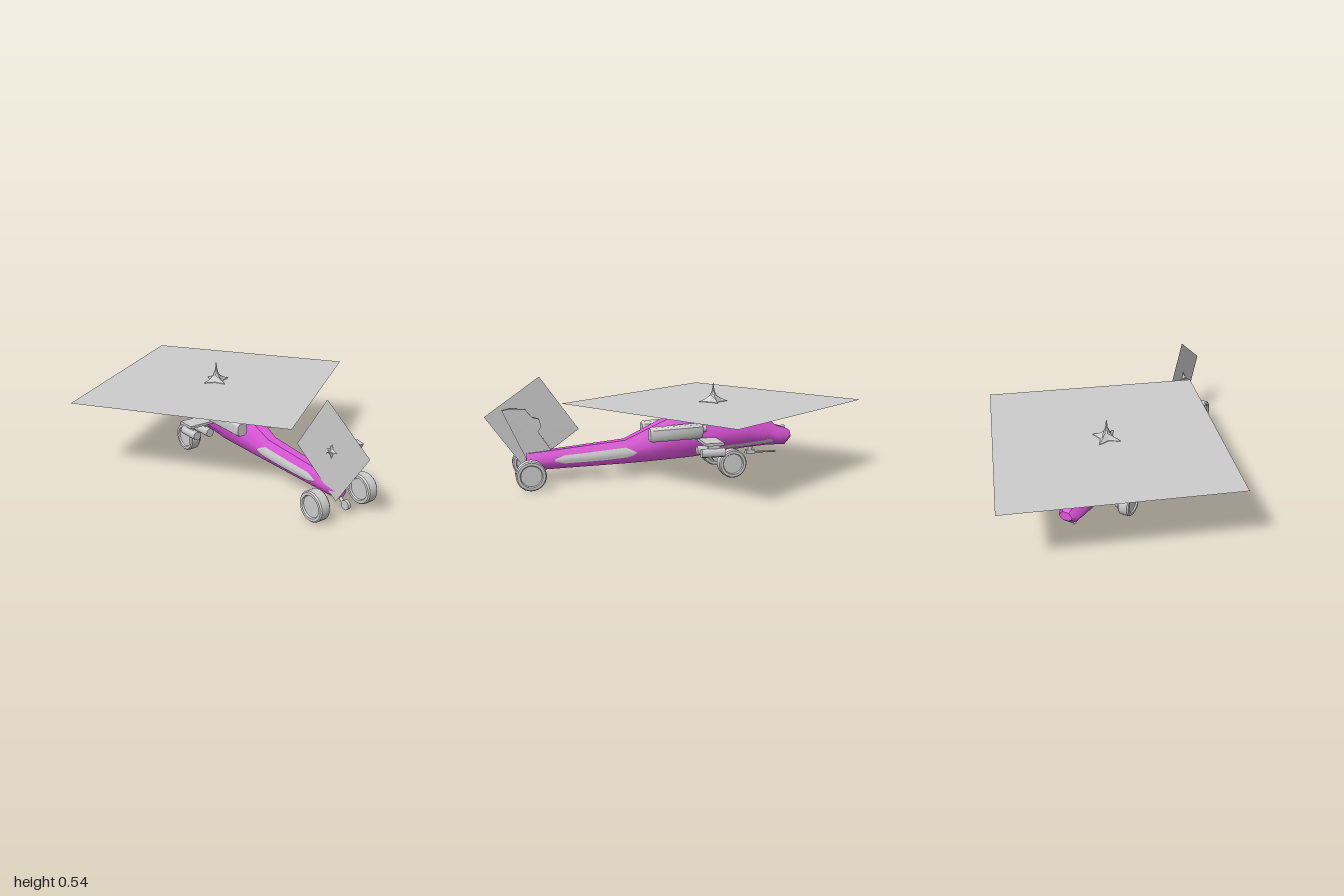
import * as THREE from 'three';
import { toCreasedNormals } from 'three/addons/utils/BufferGeometryUtils.js';

const mat = (name, color, side = THREE.FrontSide) => {
  const m = new THREE.MeshStandardMaterial({ color, side });
  m.name = name;
  return m;
};

// Skin closed rings (clockwise seen from +z, ordered from +z to -z) and cap both ends
function loft(rings, crease = 0.6) {
  const pos = [], idx = [], n = rings[0].length;
  rings.forEach(r => r.forEach(p => pos.push(...p)));
  for (let i = 0; i < rings.length - 1; i++) for (let j = 0; j < n; j++) {
    const a = i * n + j, b = i * n + (j + 1) % n;
    idx.push(a, b, a + n, b, b + n, a + n);
  }
  const last = (rings.length - 1) * n;
  for (let j = 1; j < n - 1; j++) {
    idx.push(0, j + 1, j);
    idx.push(last, last + j, last + j + 1);
  }
  const g = new THREE.BufferGeometry();
  g.setAttribute('position', new THREE.Float32BufferAttribute(pos, 3));
  g.setIndex(idx);
  return toCreasedNormals(g, crease);
}

// Fuselage stations from tail to nose: z, bottom, top, half width
const stations = [
  [0.80, 0.075, 0.160, 0.035], [0.73, 0.072, 0.166, 0.038], [0.29, 0.080, 0.205, 0.05],
  [0.165, 0.085, 0.262, 0.062], [0.015, 0.094, 0.333, 0.085], [-0.075, 0.10, 0.345, 0.098],
  [-0.26, 0.122, 0.35, 0.10], [-0.38, 0.135, 0.335, 0.094], [-0.50, 0.14, 0.287, 0.078],
  [-0.555, 0.138, 0.245, 0.065], [-0.61, 0.136, 0.23, 0.052], [-0.64, 0.165, 0.212, 0.035],
];
// Half section from top to bottom: share of width, share of height
const section = [[0.5, 1], [0.74, 0.78], [1, 0.48], [0.88, 0.22], [0.4, 0]];

// Half width of the fuselage skin at a given z and y
function skinX(z, y) {
  let i = 0;
  while (i < stations.length - 2 && stations[i + 1][0] > z) i++;
  const a = stations[i], b = stations[i + 1], t = (z - a[0]) / (b[0] - a[0]);
  const [, y0, y1, w] = a.map((v, k) => v + (b[k] - v) * t);
  const v = (y - y0) / (y1 - y0);
  for (let k = 0; k < section.length - 1; k++) {
    const [u1, v1] = section[k], [u2, v2] = section[k + 1];
    if (v <= v1 && v >= v2) return w * (u2 + (u1 - u2) * (v - v2) / (v1 - v2));
  }
  return w * 0.4;
}

// Thin plate lying on the skin, given rows of z, lower y, upper y
function sidePlate(rows, s) {
  const pos = [], idx = [], m = 4;
  rows.forEach(([z, lo, hi]) => {
    for (let j = 0; j <= m; j++) {
      const y = lo + (hi - lo) * j / m;
      pos.push(s * (skinX(z, y) + 0.005), y, z);
    }
  });
  for (let i = 0; i < rows.length - 1; i++) for (let j = 0; j < m; j++) {
    const a = i * (m + 1) + j, b = a + 1, c = a + m + 1, d = c + 1;
    if (s > 0) idx.push(a, c, b, b, c, d);
    else idx.push(a, b, c, b, d, c);
  }
  const g = new THREE.BufferGeometry();
  g.setAttribute('position', new THREE.Float32BufferAttribute(pos, 3));
  g.setIndex(idx);
  g.computeVertexNormals();
  return g;
}

// Four-pointed rotor head with a central spike along +z
function starGeometry() {
  const levels = [[0.1, 0.002], [0.06, 0.007], [0.032, 0.018], [0.014, 0.045], [0, 0.08], [-0.004, 0.078]];
  return loft(levels.map(([z, R]) => Array.from({ length: 8 }, (_, k) => {
    const r = k % 2 ? Math.min(R, 0.018 + Math.max(0, R - 0.018) * 0.25) : R;
    const a = Math.PI / 2 - k * Math.PI / 4;
    return [r * Math.cos(a), r * Math.sin(a), z];
  })), 0.4);
}

export function createModel() {
  const root = new THREE.Group();
  root.name = 'helicopter';
  const magenta = mat('magenta paint', 0xdd55da);
  const grey = mat('light grey', 0xcccccc);
  const sheet = mat('rotor disc grey', 0xcccccc, THREE.DoubleSide);
  const add = (name, geo, m = grey, p = [0, 0, 0]) => {
    const mesh = new THREE.Mesh(geo, m);
    mesh.name = name;
    mesh.position.set(...p);
    root.add(mesh);
    return mesh;
  };
  const rod = (name, a, b, r0, r1 = r0, sides = 10) => {
    const A = new THREE.Vector3(...a), B = new THREE.Vector3(...b), d = B.clone().sub(A);
    const mesh = add(name, new THREE.CylinderGeometry(r1, r0, d.length(), sides));
    mesh.position.copy(A).add(B).multiplyScalar(0.5);
    mesh.quaternion.setFromUnitVectors(new THREE.Vector3(0, 1, 0), d.normalize());
    return mesh;
  };

  // Body
  const ringAt = ([z, y0, y1, w]) => {
    const half = section.map(([u, v]) => [u * w, y0 + v * (y1 - y0), z]);
    return [...half, ...half.map(([x, y]) => [-x, y, z]).reverse()];
  };
  add('fuselage', loft(stations.map(ringAt), 0.75), magenta);
  add('noseSensor', new THREE.SphereGeometry(0.012, 10, 8), grey, [0, 0.232, -0.605]);

  // Tail fin
  const fin = new THREE.Shape([[0.80, 0.13], [0.915, 0.385], [0.88, 0.392], [0.80, 0.388], [0.765, 0.345],
    [0.73, 0.335], [0.72, 0.295], [0.737, 0.27], [0.66, 0.15]].map(p => new THREE.Vector2(-p[0], p[1])));
  const finGeo = new THREE.ExtrudeGeometry(fin, { depth: 0.02, bevelEnabled: false });
  finGeo.translate(0, 0, -0.01).rotateY(Math.PI / 2);
  add('tailFin', finGeo);

  // Main rotor
  const disc = add('mainRotorDisc', new THREE.PlaneGeometry(1.149, 1.149).rotateX(-Math.PI / 2), sheet, [0, 0.387, -0.2]);
  disc.rotation.y = Math.atan2(0.66, 0.94);
  add('mainRotorHead', starGeometry().rotateX(-Math.PI / 2), grey, [0, 0.39, -0.2]);
  rod('mainRotorMast', [0, 0.33, -0.2], [0, 0.39, -0.2], 0.013);
  rod('mainRotorCollar', [0, 0.358, -0.2], [0, 0.383, -0.2], 0.028, 0.028, 12);

  // Tail rotor
  const tail = add('tailRotorDisc', new THREE.PlaneGeometry(0.343, 0.343).rotateY(-Math.PI / 2), sheet, [-0.035, 0.3075, 0.762]);
  tail.rotation.x = Math.atan2(0.66, 0.94);
  add('tailRotorHead', starGeometry().scale(0.45, 0.45, 0.35).rotateY(-Math.PI / 2), grey, [-0.036, 0.3075, 0.762]);
  rod('tailRotorShaft', [0, 0.3075, 0.762], [-0.036, 0.3075, 0.762], 0.012);

  // Weapon wing and chin gun
  add('stubWing', new THREE.BoxGeometry(0.495, 0.014, 0.1), grey, [0, 0.203, -0.135]);
  rod('gunMount', [0, 0.14, -0.42], [0, 0.09, -0.41], 0.014, 0.01);
  add('gunBody', new THREE.BoxGeometry(0.025, 0.02, 0.05), grey, [0, 0.1, -0.415]);
  rod('gunBarrel', [0, 0.097, -0.40], [0, 0.094, -0.565], 0.005);

  // Tail wheel
  rod('tailWheelStrut', [0, 0.09, 0.77], [0, 0.055, 0.83], 0.008);
  add('tailWheel', new THREE.CylinderGeometry(0.024, 0.024, 0.016, 16).rotateZ(Math.PI / 2), grey, [0, 0.054, 0.835]);

  // Tyre profile with recessed hub, spun around the axle
  const tyre = [[0, -0.022], [0.052, -0.022], [0.056, -0.03], [0.069, -0.03], [0.075, -0.023],
    [0.075, 0.023], [0.069, 0.03], [0.056, 0.03], [0.052, 0.022], [0, 0.022]];
  const wheel = toCreasedNormals(new THREE.LatheGeometry(tyre.map(p => new THREE.Vector2(...p)), 28), 0.5)
    .rotateZ(Math.PI / 2);

  // Engine nacelle section: clockwise rounded box
  const nacelleRing = (z, w, h, y) => [[0.55, 1], [0.95, 0.7], [1, 0], [0.85, -0.7], [0.5, -1],
    [-0.5, -1], [-0.9, -0.7], [-1, 0], [-0.9, 0.7], [-0.55, 1]].map(([u, v]) => [u * w, y + v * h, z]);

  for (const s of [1, -1]) {
    const side = s > 0 ? 'left' : 'right';
    add(side + 'TailPlate', sidePlate([[0.66, 0.118, 0.126], [0.61, 0.104, 0.146], [0.5, 0.106, 0.153],
      [0.4, 0.11, 0.161], [0.29, 0.118, 0.17], [0.26, 0.125, 0.158], [0.235, 0.138, 0.144]], s));
    add(side + 'NosePlate', sidePlate([[-0.22, 0.145, 0.15], [-0.26, 0.143, 0.16], [-0.34, 0.146, 0.163],
      [-0.38, 0.148, 0.166], [-0.44, 0.152, 0.172], [-0.5, 0.157, 0.178], [-0.53, 0.165, 0.17]], s));

    add(side + 'Engine', loft([nacelleRing(0.175, 0.03, 0.032, 0.24), nacelleRing(0.165, 0.036, 0.037, 0.242),
      nacelleRing(-0.09, 0.04, 0.038, 0.251), nacelleRing(-0.105, 0.034, 0.032, 0.253)], 0.7), grey, [s * 0.102, 0, 0]);
    rod(side + 'EngineIntake', [s * 0.105, 0.262, -0.09], [s * 0.105, 0.262, -0.128], 0.022, 0.018, 12);

    // Pods hung below the wing
    for (const x of [0.135, 0.217]) {
      add(side + 'Pylon', new THREE.BoxGeometry(0.01, 0.04, 0.06), grey, [s * x, 0.185, -0.135]);
      rod(side + 'Pod', [s * x, 0.154, -0.07], [s * x, 0.154, -0.195], 0.024, 0.024, 8);
    }

    // Landing gear
    rod(side + 'GearLeg', [s * 0.05, 0.14, -0.24], [s * 0.095, 0.065, -0.26], 0.009);
    add(side + 'GearWheel', new THREE.CylinderGeometry(0.035, 0.035, 0.018, 18).rotateZ(Math.PI / 2), grey,
      [s * 0.1, 0.065, -0.26]);

    // Large road wheels
    for (const [name, z] of [['FrontWheel', -0.257], ['RearWheel', 0.789]])
      add(side + name, wheel, grey, [s * 0.152, 0.079, z]);
  }
  return root;
}
